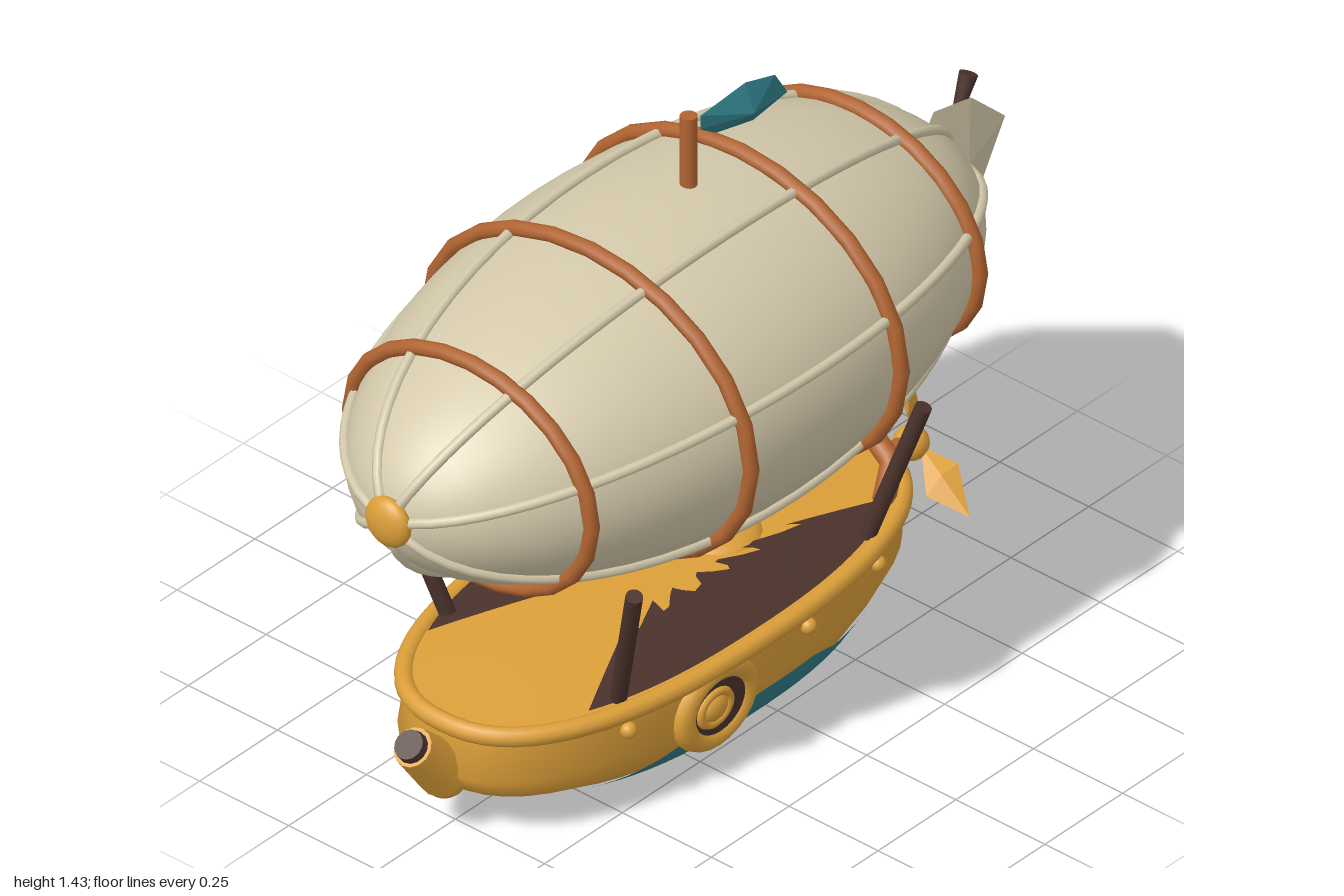
import * as THREE from 'three';
import { toCreasedNormals } from 'three/addons/utils/BufferGeometryUtils.js';

const mat = (name, color) => {
  const m = new THREE.MeshStandardMaterial({ color });
  m.name = name;
  return m;
};
const V = (x, y, z) => new THREE.Vector3(x, y, z);

export function createModel() {
  const model = new THREE.Group();
  const cream = mat('cream canvas', 0xd4c9ab);
  const gold = mat('gold', 0xdc9f39);
  const copper = mat('copper', 0xb16431);
  const brown = mat('dark brown', 0x4a322b);
  const teal = mat('teal', 0x2f7d88);

  const add = (name, geo, material, parent = model) => {
    const m = new THREE.Mesh(geo, material);
    m.name = name;
    parent.add(m);
    return m;
  };
  const ball = (name, p, r, material, s = [1, 1, 1], parent = model) => {
    const m = add(name, new THREE.SphereGeometry(r, 18, 12), material, parent);
    m.position.copy(p);
    m.scale.set(...s);
    return m;
  };
  // Straight round bar between two points
  const rod = (name, a, b, r0, r1, material) => {
    const m = add(name, new THREE.CylinderGeometry(r1, r0, a.distanceTo(b), 14), material);
    m.position.copy(a).lerp(b, 0.5);
    m.quaternion.setFromUnitVectors(V(0, 1, 0), b.clone().sub(a).normalize());
    return m;
  };
  // Faceted leaf: outline of [z, y], clockwise from +x, swelling to +-t at its middle
  const leaf = (outline, x, mid, t) => {
    const pos = [];
    outline.forEach(([z, y], i) => {
      const [z2, y2] = outline[(i + 1) % outline.length];
      pos.push(x, y2, z2, x, y, z, x + t, mid[1], mid[0]);
      pos.push(x, y, z, x, y2, z2, x - t, mid[1], mid[0]);
    });
    const g = new THREE.BufferGeometry();
    g.setAttribute('position', new THREE.Float32BufferAttribute(pos, 3));
    g.computeVertexNormals();
    return g;
  };
  // Skin over rows of points, rows running upward
  const loft = (rows) => {
    const n = rows[0].length, idx = [];
    for (let i = 0; i < rows.length - 1; i++) for (let j = 0; j < n - 1; j++) {
      const a = i * n + j, d = a + n;
      idx.push(a, d, d + 1, a, d + 1, a + 1);
    }
    const g = new THREE.BufferGeometry().setFromPoints(rows.flat());
    g.setIndex(idx);
    return toCreasedNormals(g, 1.1);
  };

  // Envelope
  const C = V(0, 0.884, 0.075), RX = 0.457, RY = 0.367, RZ = 0.89;
  const env = add('envelope', new THREE.SphereGeometry(1, 40, 28).rotateX(Math.PI / 2), cream);
  env.position.copy(C);
  env.scale.set(RX, RY, RZ);

  // Lengthwise seams
  [-90, -39, 20, 69, 119, 169, 219].forEach((deg) => {
    const t = deg * Math.PI / 180, pts = [];
    for (let i = 0; i <= 20; i++) {
      const p = Math.PI * i / 20, s = Math.sin(p);
      pts.push(V((RX + 0.007) * s * Math.cos(t), C.y + (RY + 0.005) * s * Math.sin(t), C.z + RZ * Math.cos(p)));
    }
    add('envelopeRib', new THREE.TubeGeometry(new THREE.CatmullRomCurve3(pts), 40, 0.012, 8), cream);
  });

  // Hoops, visibly many-sided
  [0.7, 0.318, -0.165, -0.545].forEach((z) => {
    const k = Math.sqrt(1 - ((z - C.z) / RZ) ** 2), pts = [];
    for (let i = 0; i < 24; i++) {
      const a = i / 24 * Math.PI * 2;
      pts.push(V((RX * k + 0.014) * Math.cos(a), C.y + (RY * k + 0.01) * Math.sin(a), z));
    }
    add('envelopeHoop', new THREE.TubeGeometry(new THREE.CatmullRomCurve3(pts, true), 24, 0.018, 10, true), copper);
  });
  ball('noseCap', V(0, 0.885, 0.965), 0.06, gold, [1, 1, 0.5]);
  ball('tailCap', V(0, 0.885, -0.815), 0.058, gold, [1, 0.9, 0.5]);

  // Tail fin with its pegs
  add('tailFin', leaf([[-0.74, 0.99], [-0.77, 1.035], [-0.89, 1.01], [-1, 0.905], [-0.87, 0.68], [-0.75, 0.73]],
    0.015, [-0.85, 0.87], 0.03), cream);
  rod('tailPeg', V(0, 0.97, -0.86), V(0, 1.06, -0.9), 0.011, 0.021, brown);
  rod('lowerPeg', V(0, 0.7, -0.62), V(0, 0.655, -0.65), 0.011, 0.013, brown);

  // Mast and pennant
  rod('mast', V(0, 1.22, 0), V(0, 1.425, 0), 0.019, 0.019, copper);
  add('pennant', leaf([[-0.02, 1.385], [-0.02, 1.42], [-0.165, 1.43], [-0.26, 1.4], [-0.3, 1.335], [-0.19, 1.32], [-0.07, 1.35]],
    0.015, [-0.15, 1.375], 0.038), teal);

  // Hull levels: [y, stern z, bow z, half width]
  const levels = [[0.004, 0.17, 0.18, 0.004], [0.008, -0.08, 0.4, 0.11], [0.03, -0.22, 0.5, 0.2], [0.07, -0.44, 0.66, 0.272],
    [0.12, -0.51, 0.785, 0.298], [0.17, -0.565, 0.815, 0.311], [0.285, -0.565, 0.79, 0.308]];
  const hullPoint = (y, a, off = 0) => {
    let i = 0;
    while (i < levels.length - 2 && levels[i + 1][0] < y) i++;
    const A = levels[i], B = levels[i + 1], k = (y - A[0]) / (B[0] - A[0]);
    const [z0, z1, w] = [1, 2, 3].map((n) => A[n] + (B[n] - A[n]) * k);
    const pw = (v) => Math.sign(v) * Math.abs(v) ** (2 / 2.4);
    return V((w + off) * pw(Math.cos(a)), y, (z0 + z1) / 2 + ((z1 - z0) / 2 + off) * pw(Math.sin(a)));
  };
  const ringAt = (y, off) =>
    Array.from({ length: 49 }, (_, i) => hullPoint(y, i / 48 * Math.PI * 2, off));
  add('hull', loft(levels.map((l) => ringAt(l[0], 0))), gold);

  // Waterline band with a wavy upper edge, open at the bow: [distance round from stern, top y]
  const wave = [[0, 0.082], [0.52, 0.085], [0.82, 0.12], [1.21, 0.115], [1.33, 0.145], [1.75, 0.147], [2, 0.105], [2.2, 0.082], [2.42, 0.072]];
  const band = [[], [], [], [], []];
  for (let i = 0; i <= 60; i++) {
    const s = -2.4 + 4.8 * i / 60, q = Math.abs(s);
    const n = wave.findIndex((w, j) => j > 0 && w[0] >= q);
    const [p0, h0] = wave[n - 1], [p1, h1] = wave[n];
    const top = h0 + (h1 - h0) * (q - p0) / (p1 - p0);
    band[0].push(hullPoint(0.064, s - Math.PI / 2, -0.004));
    for (let r = 0; r < 4; r++) band[r + 1].push(hullPoint(0.07 + (top - 0.07) * r / 3, s - Math.PI / 2, 0.007));
  }
  add('waterlineBand', loft(band), teal);

  // Gently domed deck: k runs from the centre (0) to the edge (1)
  const deckPoint = (k, a, lift = 0) => {
    const p = hullPoint(0.285, a);
    return V(p.x * k, 0.29 + 0.03 * (1 - k * k) + lift, 0.112 + (p.z - 0.112) * k);
  };
  add('deck', loft([1, 0.8, 0.6, 0.4, 0.2, 0.002].map((k) =>
    Array.from({ length: 49 }, (_, i) => deckPoint(k, i / 48 * Math.PI * 2)))), gold);
  add('rim', new THREE.TubeGeometry(new THREE.CatmullRomCurve3(ringAt(0.28, 0.002).slice(0, -1), true), 96, 0.022, 10, true), gold);

  // Dark floor panels with ragged inner edges
  [[-0.95, 0.75], [Math.PI - 0.75, Math.PI + 0.95]].forEach(([a0, a1]) => {
    const rows = [0, 1, 2, 3, 4].map((r) => Array.from({ length: 29 }, (_, i) => {
      const a = a0 + (a1 - a0) * i / 28;
      const inner = (0.105 + 0.022 * Math.sin(i * 1.3)) / Math.abs(hullPoint(0.285, a).x);
      return deckPoint(0.95 + (inner - 0.95) * r / 4, a, 0.005);
    }));
    add('floorPanel', loft(rows), brown);
  });

  // Central hatch
  ball('hatchDome', V(0, 0.3, -0.08), 0.11, gold, [1, 0.42, 1]);
  ball('hatchKnob', V(0, 0.366, -0.07), 0.044, brown, [1, 0.8, 1]);

  // Bow spout
  ball('spoutBase', V(0, 0.155, 0.79), 0.06, gold, [1, 1.1, 0.9]);
  rod('spout', V(0, 0.155, 0.79), V(0, 0.262, 0.888), 0.062, 0.045, gold);
  rod('spoutMouth', V(0, 0.255, 0.882), V(0, 0.276, 0.901), 0.038, 0.034, brown);

  // Stern rail
  const rail = new THREE.CurvePath();
  const corners = [[-0.18, 0.29, -0.42], [-0.165, 0.36, -0.465], [0, 0.425, -0.51], [0.165, 0.36, -0.465], [0.18, 0.29, -0.42]].map((p) => V(...p));
  corners.slice(1).forEach((p, i) => rail.add(new THREE.LineCurve3(corners[i], p)));
  add('sternRail', new THREE.TubeGeometry(rail, 40, 0.025, 10), copper);

  // Propeller
  rod('propellerShaft', V(0, 0.205, -0.53), V(0, 0.205, -0.7), 0.026, 0.026, copper);
  const prop = new THREE.Group();
  prop.name = 'propeller';
  prop.position.set(0, 0.205, -0.715);
  model.add(prop);
  ball('propellerHub', V(0, 0, 0), 0.04, gold, [1, 1, 1], prop);
  const blade = leaf([[-0.01, 0.02], [0.052, 0.11], [0.012, 0.205], [-0.045, 0.1]], 0, [0, 0.1], 0.016).rotateY(0.6);
  for (let i = 0; i < 3; i++) {
    add('propellerBlade', blade, gold, prop).rotation.z = i * Math.PI * 2 / 3;
  }

  for (const s of [1, -1]) {
    // Suspension struts
    rod('strut', V(0.238 * s, 0.29, 0.5), V(0.345 * s, 0.642, 0.57), 0.019, 0.019, brown);
    rod('strut', V(0.238 * s, 0.29, -0.3), V(0.345 * s, 0.642, -0.36), 0.019, 0.019, brown);
    // Rivets
    [0.51, -0.03, -0.3].forEach((z) => {
      const a = Math.asin(Math.sign(z - 0.12) * (Math.abs(z - 0.12) / 0.685) ** 1.2);
      const p = hullPoint(0.235, a, 0.004);
      ball('rivet', V(p.x * s, p.y, z), 0.019, gold);
    });
    // Side porthole
    const port = new THREE.Group();
    port.name = 'sidePorthole';
    port.position.set(0.298 * s, 0.182, 0.258);
    port.rotation.y = s * Math.PI / 2;
    port.scale.set(1.22, 1, 1);
    model.add(port);
    add('portholeRing', new THREE.TorusGeometry(0.082, 0.025, 10, 24), gold, port);
    add('portholeDisc', new THREE.CylinderGeometry(0.075, 0.075, 0.034, 24).rotateX(Math.PI / 2), brown, port);
    add('portholeInnerRing', new THREE.TorusGeometry(0.038, 0.01, 8, 20), gold, port).position.set(-0.015 * s, 0.005, 0.017);
    ball('portholeBoss', V(-0.015 * s, 0.005, 0.015), 0.032, gold, [1, 1, 0.6], port);
  }
  return model;
}
